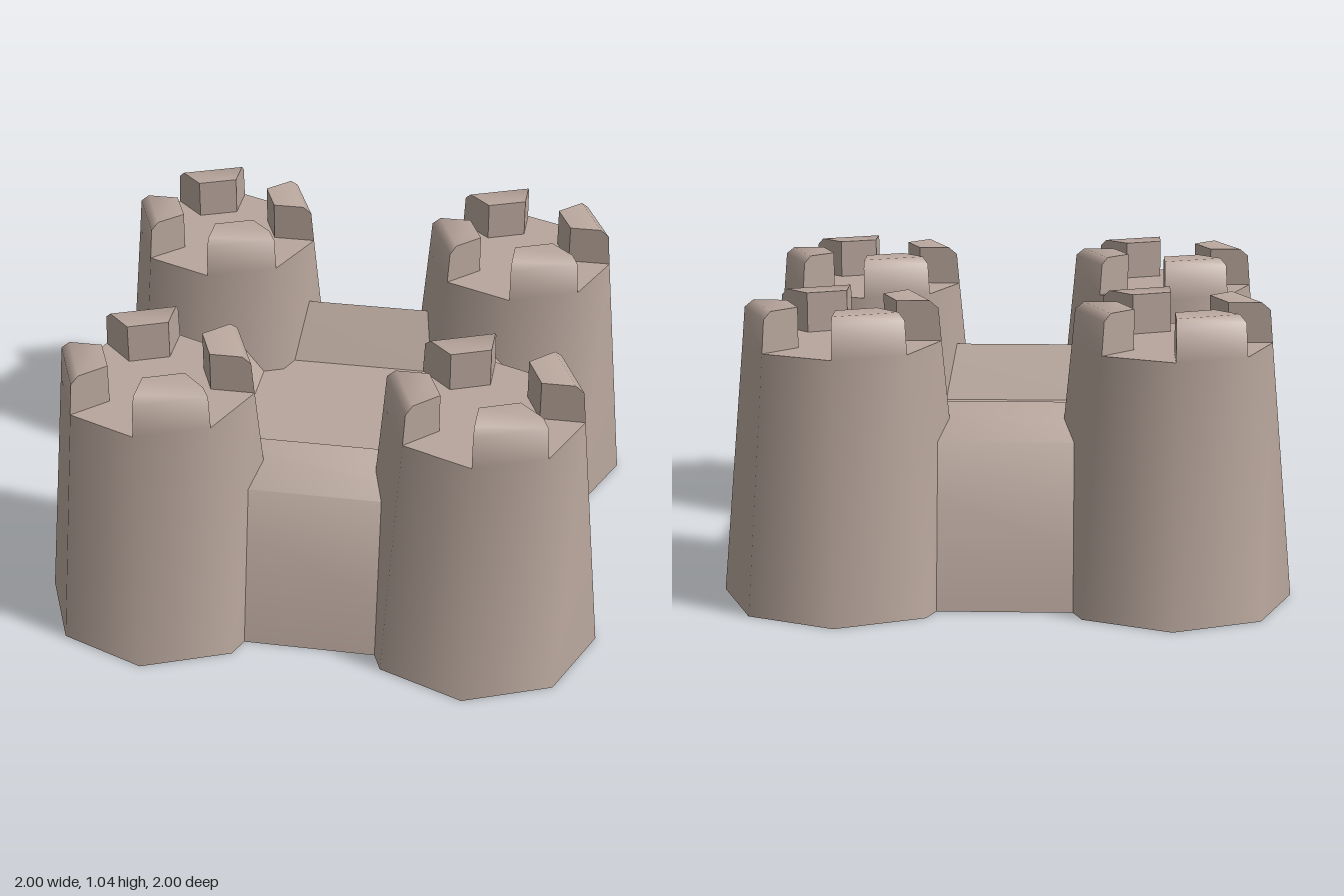
import * as THREE from 'three';
import { mergeGeometries, toCreasedNormals } from 'three/addons/utils/BufferGeometryUtils.js';

const CREASE = 0.9; // keeps the octagon sides and bevels smooth, right angles sharp
const FLOOR = 0.905; // height of the tower platform

// Battlement block: a bevelled radial profile swept over one side of the octagon
function merlonGeometry(start) {
  const profile = [[0.19, FLOOR], [0.345, FLOOR], [0.335, 1.02], [0.305, 1.045], [0.19, 1.045]];
  const n = profile.length;
  const pos = [];
  const index = [];
  for (const t of [start, start + Math.PI / 4]) {
    for (const [r, y] of profile) pos.push(r * Math.cos(t), y, r * Math.sin(t));
  }
  // outer face, bevel, top and inner face
  for (let i = 1; i < n; i++) {
    const j = (i + 1) % n;
    index.push(i, j, j + n, i, j + n, i + n);
  }
  // radial end faces
  for (let i = 1; i < n - 1; i++) index.push(0, i + 1, i, n, n + i, n + i + 1);
  const g = new THREE.BufferGeometry();
  g.setAttribute('position', new THREE.Float32BufferAttribute(pos, 3));
  g.setIndex(index);
  return g.toNonIndexed();
}

// Tapered eight-sided tower with four battlement blocks
function towerGeometry() {
  const body = new THREE.CylinderGeometry(0.345, 0.43, FLOOR, 8).translate(0, FLOOR / 2, 0).toNonIndexed();
  body.deleteAttribute('uv');
  body.deleteAttribute('normal');
  const parts = [body];
  for (let k = 0; k < 4; k++) parts.push(merlonGeometry(Math.PI / 4 + k * Math.PI / 2));
  return toCreasedNormals(mergeGeometries(parts), CREASE);
}

// Square ring of sloped walls around a sunken courtyard, as a four-sided lathe
function wallGeometry() {
  const profile = [[0, 0], [0.8, 0], [0.67, 0.57], [0.5, 0.675], [0.37, 0.48], [0, 0.48]]
    .map(([r, y]) => new THREE.Vector2(r * Math.SQRT2, y));
  return toCreasedNormals(new THREE.LatheGeometry(profile, 4, Math.PI / 4), CREASE);
}

export function createModel() {
  const model = new THREE.Group();
  model.name = 'castle';
  const stone = new THREE.MeshStandardMaterial({ color: 0xb8a69c });
  stone.name = 'stone';

  const walls = new THREE.Mesh(wallGeometry(), stone);
  walls.name = 'wallsAndCourtyard';
  model.add(walls);

  // Corner towers, all turned the same way
  const tower = towerGeometry();
  for (const [sx, side] of [[1, 'Left'], [-1, 'Right']]) {
    for (const [sz, end] of [[1, 'front'], [-1, 'back']]) {
      const mesh = new THREE.Mesh(tower, stone);
      mesh.name = `${end}${side}Tower`;
      mesh.position.set(0.57 * sx, 0, 0.57 * sz);
      model.add(mesh);
    }
  }
  return model;
}
